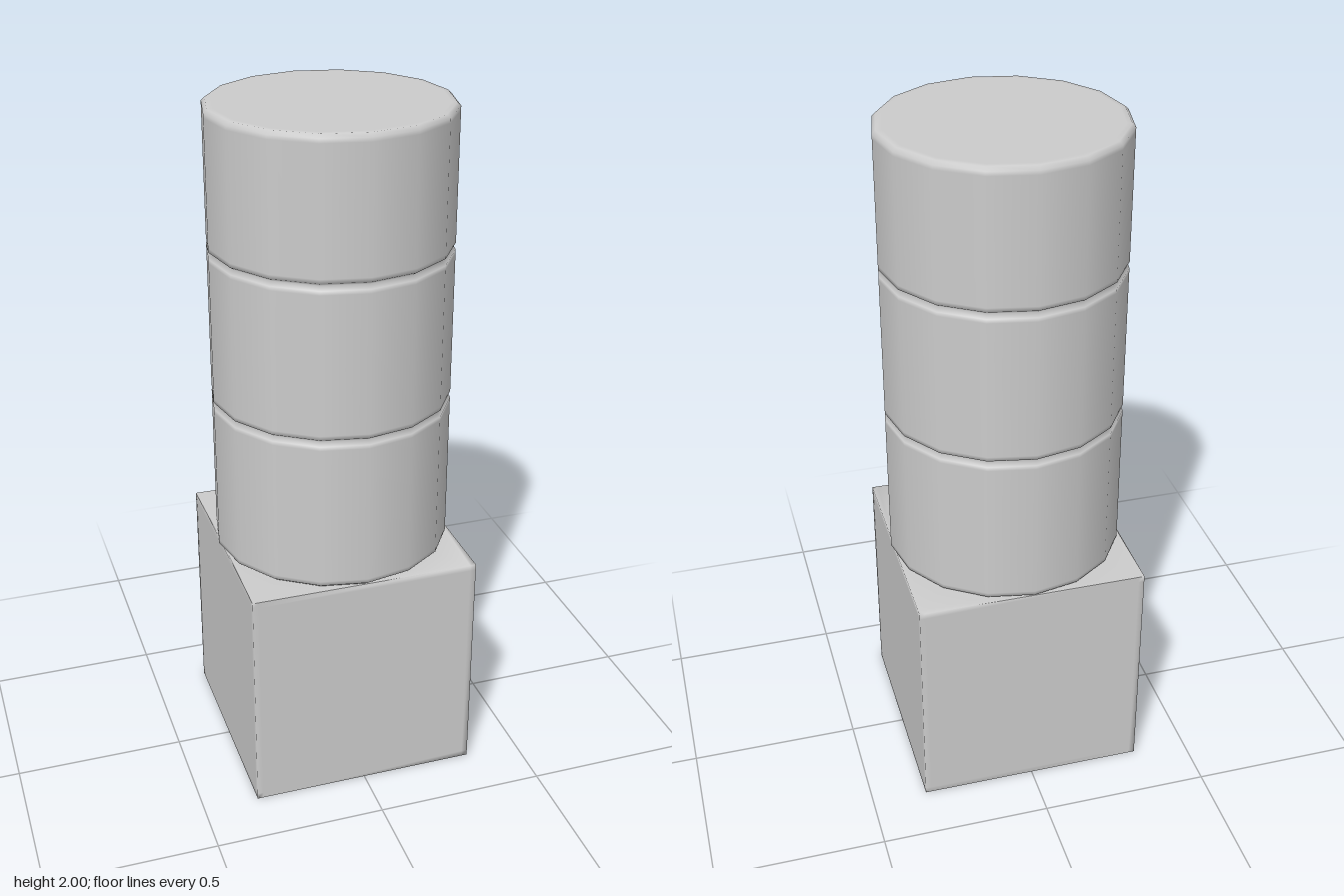
import * as THREE from 'three';
import { mergeGeometries, mergeVertices } from 'three/addons/utils/BufferGeometryUtils.js';

const SIDES = 16, HALF = 0.337, EDGE = 0.018, BASE_H = 0.69, NECK = 0.333, R = 0.347;

const material = new THREE.MeshStandardMaterial({ color: 0xcccccc, side: THREE.DoubleSide });

// Square outline with extra points beside each corner
function squarePoints(h) {
  const i = h - EDGE, pts = [];
  for (let k = 0; k < 4; k++) {
    for (const [x, y] of [[-i, -h], [i, -h], [h, -h]]) {
      pts.push(new THREE.Vector2(x, y).rotateAround(new THREE.Vector2(), k * Math.PI / 2));
    }
  }
  return pts;
}

function circlePoints(r) {
  return Array.from({ length: SIDES }, (_, k) => {
    const a = k / SIDES * Math.PI * 2;
    return new THREE.Vector2(r * Math.cos(a), r * Math.sin(a));
  });
}

// Flat square plate with a hole
function plate(holePoints) {
  const shape = new THREE.Shape(squarePoints(HALF));
  shape.holes.push(new THREE.Path(holePoints));
  return new THREE.ShapeGeometry(shape);
}

// Four walls of the base, with narrow strips along their edges
function walls() {
  const g = new THREE.BoxGeometry(2, 2, 2, 3, 3, 3);
  const p = g.attributes.position;
  const place = (v, h) => Math.sign(v) * (Math.abs(v) > 0.9 ? h : h - EDGE);
  for (let i = 0; i < p.count; i++) {
    p.setXYZ(i, place(p.getX(i), HALF), place(p.getY(i), BASE_H / 2) + BASE_H / 2, place(p.getZ(i), HALF));
  }
  // Drop the top and bottom sides
  const kept = g.groups.filter(s => s.materialIndex !== 2 && s.materialIndex !== 3);
  const index = Array.from(g.index.array);
  g.setIndex(kept.flatMap(s => index.slice(s.start, s.start + s.count)));
  g.clearGroups();
  return g;
}

// Hollow base, open below, with softly shaded edges
function baseGeometry() {
  const top = plate(circlePoints(NECK)).rotateX(-Math.PI / 2).translate(0, BASE_H, 0);
  const lip = plate(squarePoints(HALF - 0.01)).rotateX(Math.PI / 2);
  const parts = [walls(), top, lip];
  parts.forEach(g => { g.deleteAttribute('uv'); g.deleteAttribute('normal'); });
  const g = mergeVertices(mergeGeometries(parts), 1e-4);
  g.computeVertexNormals();
  return g;
}

// Three stacked drums separated by narrow grooves
function columnGeometry() {
  const pts = [new THREE.Vector2(NECK, BASE_H)];
  const drums = [[0.70, 1.14], [1.16, 1.59], [1.61, 1.99]];
  drums.forEach(([lo, hi], k) => {
    for (const y of [lo, lo + 0.012, hi - 0.012, hi]) pts.push(new THREE.Vector2(R, y));
    if (k < 2) pts.push(new THREE.Vector2(0.332, hi + 0.01));
  });
  for (const [r, y] of [[0.337, 2], [0.322, 2], [0, 2]]) pts.push(new THREE.Vector2(r, y));
  return new THREE.LatheGeometry(pts, SIDES);
}

export function createModel() {
  const group = new THREE.Group();
  group.name = 'columnOnSquareBase';
  for (const [name, geometry] of [['squareBase', baseGeometry()], ['groovedColumn', columnGeometry()]]) {
    const mesh = new THREE.Mesh(geometry, material);
    mesh.name = name;
    group.add(mesh);
  }
  return group;
}
